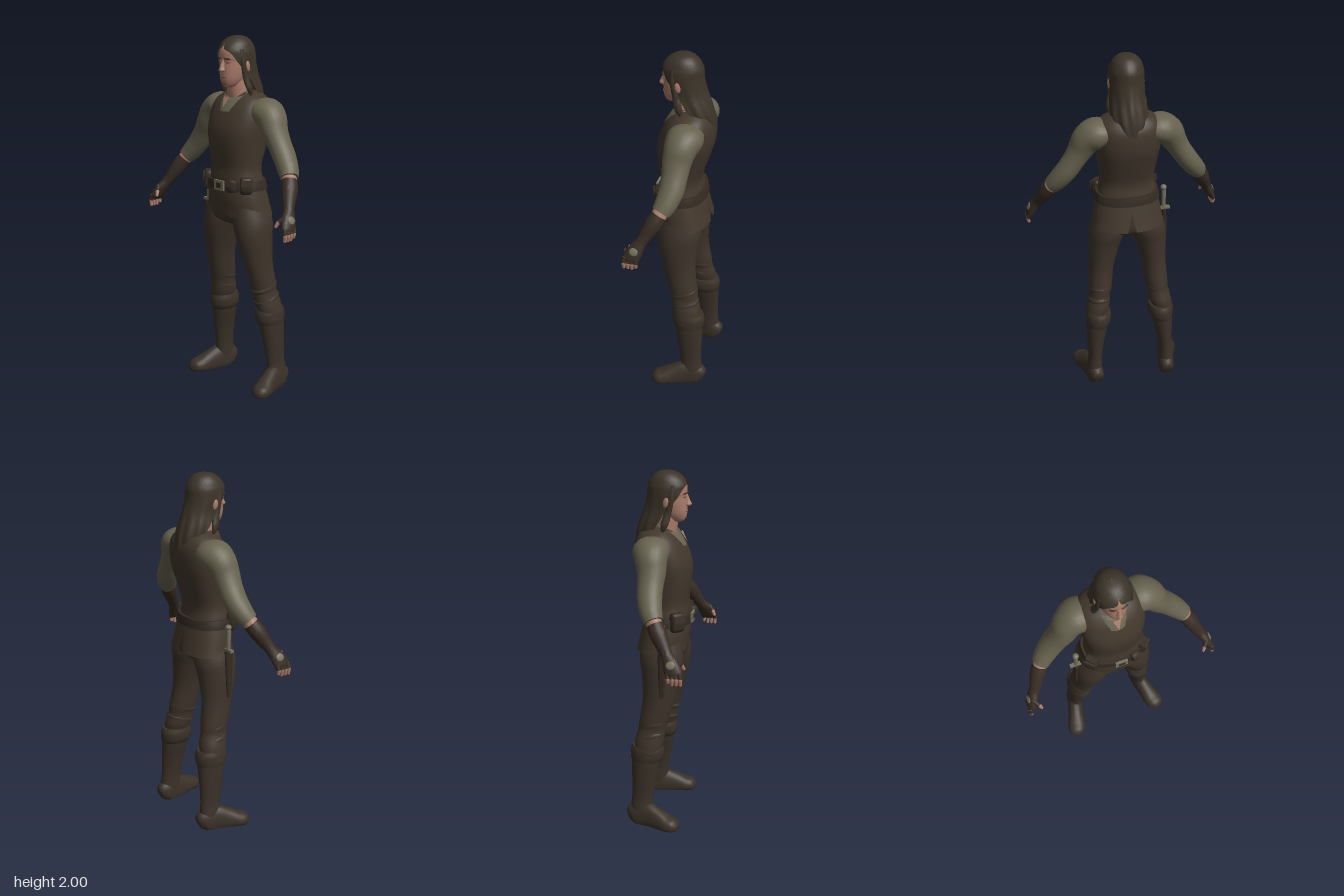
import * as THREE from 'three';
import { toCreasedNormals } from 'three/addons/utils/BufferGeometryUtils.js';

const mat = (name, color, side = THREE.FrontSide) => {
  const m = new THREE.MeshStandardMaterial({ color, side });
  m.name = name;
  return m;
};

// Superellipse point on a ring
const ringXY = (th, e) => {
  const f = (v) => Math.sign(v) * Math.abs(v) ** (2 / e);
  return [f(Math.cos(th)), f(Math.sin(th))];
};

// Smoothly resample rows of numbers by Catmull-Rom
function resample(rows, k) {
  const curves = [];
  for (let i = 0; i < rows[0].length; i++)
    curves.push(new THREE.SplineCurve(rows.map((r, j) => new THREE.Vector2(j, r[i]))));
  const n = (rows.length - 1) * k;
  return Array.from({ length: n + 1 }, (_, j) => curves.map((c) => c.getPoint(j / n).y));
}

// Closed skin over rings [x, y, z, a, b]: a lies along ref, b across it
function loft(rows, { n = 24, k = 4, e = 2, ref = [0, 0, 1], axis = null, floor = -1 } = {}) {
  const rings = resample(rows, k), R = new THREE.Vector3(...ref), pos = [], idx = [];
  const C = rings.map((r) => new THREE.Vector3(r[0], r[1], r[2]));
  const put = (p) => pos.push(p.x, Math.max(p.y, floor), p.z);
  rings.forEach((r, i) => {
    const t = axis ? new THREE.Vector3(...axis).normalize()
      : C[Math.min(i + 1, C.length - 1)].clone().sub(C[Math.max(i - 1, 0)]).normalize();
    const u = R.clone().addScaledVector(t, -t.dot(R)).normalize();
    const v = t.clone().cross(u);
    for (let j = 0; j < n; j++) {
      const [c, s] = ringXY((j / n) * Math.PI * 2, e);
      put(C[i].clone().addScaledVector(u, r[3] * c).addScaledVector(v, r[4] * s));
      if (i < rings.length - 1) {
        const a = i * n + j, b = i * n + ((j + 1) % n);
        idx.push(a, b, b + n, a, b + n, a + n);
      }
    }
  });
  const last = (rings.length - 1) * n, c0 = rings.length * n;
  put(C[0]);
  put(C[C.length - 1]);
  for (let j = 0; j < n; j++) {
    const q = (j + 1) % n;
    idx.push(c0, q, j, c0 + 1, last + j, last + q);
  }
  return finish(pos, idx);
}

// Open sheet round the y axis, rows [y, z, a, b, gapStart, gapEnd, wave]
function sheet(rows, sweep, { n = 40, k = 4, e = 2 } = {}) {
  const rings = resample(rows, k), pos = [], idx = [];
  rings.forEach(([y, z, a, b, g0, g1, w], i) => {
    for (let j = 0; j <= n; j++) {
      const th = g0 + (sweep - g0 - g1) * (j / n);
      const [c, s] = ringXY(th, e), f = 1 + w * Math.cos(th * 11 + y * 9);
      pos.push(b * s * f, y, z + a * c * f);
      if (i < rings.length - 1 && j < n) {
        const p = i * (n + 1) + j, q = p + n + 1;
        idx.push(p, q, q + 1, p, q + 1, p + 1);
      }
    }
  });
  return finish(pos, idx);
}

function finish(pos, idx) {
  const g = new THREE.BufferGeometry();
  g.setAttribute('position', new THREE.Float32BufferAttribute(pos, 3));
  g.setIndex(idx);
  return toCreasedNormals(g, 1.0);
}

export function createModel() {
  const model = new THREE.Group();
  const M = {
    vest: mat('vest brown', 0x42372c, THREE.DoubleSide),
    trousers: mat('trouser brown', 0x3e342a),
    boots: mat('boot brown', 0x3a3128),
    gloves: mat('glove brown', 0x372c24),
    hair: mat('hair brown', 0x3b3328, THREE.DoubleSide),
    shirt: mat('shirt olive', 0x67624f),
    skin: mat('skin', 0xaa7b69, THREE.DoubleSide),
    belt: mat('belt leather', 0x342b22),
    metal: mat('dull metal', 0x75705d),
    stubble: mat('stubble', 0x7f5b4d),
  };
  const add = (name, geo, m, p = [0, 0, 0], r = [0, 0, 0], s = [1, 1, 1]) => {
    const mesh = new THREE.Mesh(geo, m);
    mesh.name = name;
    mesh.position.set(...p);
    mesh.rotation.set(...r);
    mesh.scale.set(...s);
    model.add(mesh);
    return mesh;
  };
  const ball = new THREE.SphereGeometry(1, 20, 14);
  const up = [0, 1, 0];

  // Vest body
  add('vest', loft([
    [0, 1.15, -0.018, 0.125, 0.172], [0, 1.22, -0.008, 0.118, 0.16], [0, 1.29, -0.008, 0.113, 0.15],
    [0, 1.4, -0.018, 0.137, 0.164], [0, 1.5, -0.033, 0.151, 0.178], [0, 1.6, -0.053, 0.135, 0.18],
    [0, 1.655, -0.062, 0.105, 0.158], [0, 1.69, -0.065, 0.07, 0.1], [0, 1.7, -0.065, 0.04, 0.06],
  ], { n: 40, e: 2.4, axis: up }), M.vest);

  // Vest skirts, vented at front and back
  for (const s of [1, -1]) {
    add(s > 0 ? 'leftSkirt' : 'rightSkirt', sheet([
      [1.2, -0.012, 0.122, 0.166, 0, 0, 0], [1.12, -0.02, 0.133, 0.184, 0.01, 0.01, 0],
      [1.06, -0.03, 0.137, 0.194, 0.12, 0.05, 0], [1.015, -0.037, 0.141, 0.203, 0.24, 0.09, 0],
    ], Math.PI, { n: 28, e: 2.3 }), M.vest, [0, 0, 0], [0, 0, 0], [s, 1, 1]);
  }

  // Belt, buckle, pouches
  add('belt', loft([[0, 1.165, -0.014, 0.137, 0.183], [0, 1.19, -0.012, 0.136, 0.18], [0, 1.215, -0.01, 0.133, 0.174]],
    { n: 40, e: 2.3, axis: up }), M.belt);
  add('buckle', new THREE.BoxGeometry(0.07, 0.056, 0.012), M.metal, [0.005, 1.192, 0.128]);
  add('buckleInset', new THREE.BoxGeometry(0.036, 0.028, 0.004), M.belt, [0.005, 1.192, 0.134]);
  const pouch = (name, x, y, z, w, h, ry) => {
    add(name, loft([[0, -h, 0, 0.016, w * 0.8], [0, -h * 0.7, 0, 0.027, w], [0, h * 0.5, 0, 0.027, w],
      [0, h, 0, 0.018, w * 0.85]], { e: 4, axis: up }), M.belt, [x, y, z], [0, ry, 0]);
    add(name + 'Flap', new THREE.BoxGeometry(w * 1.7, h * 0.75, 0.008), M.trousers,
      [x + 0.026 * Math.sin(ry), y + h * 0.4, z + 0.026 * Math.cos(ry)], [0, ry, 0]);
  };
  pouch('rightPouch', -0.145, 1.197, 0.068, 0.04, 0.052, -0.8);
  pouch('leftFrontPouch', 0.085, 1.195, 0.105, 0.026, 0.034, 0.35);
  pouch('leftSidePouch', 0.15, 1.2, 0.063, 0.034, 0.045, 0.85);

  // Dagger in its sheath on the right hip
  add('daggerSheath', loft([[-0.226, 0.78, 0.0, 0.012, 0.008], [-0.224, 0.9, 0, 0.02, 0.012],
    [-0.218, 1.05, 0, 0.024, 0.014]]), M.belt);
  add('daggerGuard', new THREE.BoxGeometry(0.065, 0.014, 0.022), M.metal, [-0.22, 1.055, 0]);
  add('daggerGrip', new THREE.CylinderGeometry(0.014, 0.011, 0.12, 12), M.metal, [-0.217, 1.122, 0]);
  add('daggerPommel', ball, M.metal, [-0.215, 1.185, 0], [0, 0, 0], [0.018, 0.016, 0.018]);

  // Hips
  add('hips', loft([[0, 0.965, -0.025, 0.085, 0.1], [0, 1.0, -0.022, 0.12, 0.17], [0, 1.08, -0.02, 0.124, 0.178],
    [0, 1.18, -0.012, 0.11, 0.155]], { n: 32, axis: up, e: 2.3 }), M.trousers);

  for (const s of [1, -1]) {
    const side = s > 0 ? 'left' : 'right';
    const rows = (list) => list.map(([x, ...r]) => [x * s, ...r]);
    const limb = (part, list, m, opt) => add(side + part, loft(rows(list), opt), m);

    // Trouser leg
    limb('TrouserLeg', [
      [0.205, 0.42, -0.088, 0.07, 0.055], [0.184, 0.5, -0.08, 0.082, 0.066], [0.172, 0.57, -0.066, 0.078, 0.06],
      [0.165, 0.62, -0.058, 0.082, 0.066], [0.152, 0.75, -0.032, 0.091, 0.071], [0.132, 0.89, -0.02, 0.112, 0.091],
      [0.114, 0.98, -0.024, 0.122, 0.102], [0.1, 1.08, -0.024, 0.11, 0.085],
    ], M.trousers, { axis: up });
    // Trouser folds at the knee
    for (const [x, y, z, a, b] of [[0.177, 0.535, -0.072, 0.083, 0.066], [0.167, 0.605, -0.06, 0.084, 0.067]])
      limb('KneeFold', [[x, y - 0.018, z, a * 0.9, b * 0.9], [x, y, z, a, b], [x, y + 0.018, z, a * 0.9, b * 0.9]],
        M.trousers, { axis: [0, 1, 0.25 * s] });

    // Boot shaft, cuff and foot
    limb('BootShaft', [
      [0.218, 0.02, -0.125, 0.06, 0.042], [0.217, 0.09, -0.12, 0.064, 0.044], [0.212, 0.16, -0.115, 0.062, 0.04],
      [0.205, 0.27, -0.106, 0.071, 0.049], [0.196, 0.36, -0.1, 0.08, 0.06], [0.188, 0.45, -0.094, 0.086, 0.066],
    ], M.boots, { axis: up });
    limb('BootCuff', [[0.192, 0.385, -0.096, 0.084, 0.064], [0.187, 0.41, -0.093, 0.094, 0.072],
      [0.185, 0.45, -0.092, 0.095, 0.073], [0.184, 0.475, -0.09, 0.086, 0.067]], M.boots, { axis: up, k: 3 });
    limb('BootFoot', [
      [0.212, 0.035, -0.19, 0.04, 0.03], [0.214, 0.045, -0.16, 0.07, 0.045], [0.225, 0.04, -0.09, 0.09, 0.046],
      [0.244, 0.03, -0.02, 0.072, 0.049], [0.262, 0.02, 0.04, 0.053, 0.055], [0.275, 0.018, 0.08, 0.042, 0.047],
      [0.282, 0.016, 0.104, 0.018, 0.02],
    ], M.boots, { ref: up, floor: 0, e: 2.3 });

    // Shirt sleeve with rolled end
    limb('Sleeve', [
      [0.11, 1.595, -0.07, 0.085, 0.06], [0.172, 1.592, -0.067, 0.1, 0.082], [0.222, 1.56, -0.057, 0.088, 0.08],
      [0.256, 1.5, -0.047, 0.078, 0.068], [0.292, 1.44, -0.045, 0.07, 0.06], [0.335, 1.375, -0.04, 0.067, 0.058],
      [0.38, 1.315, -0.022, 0.06, 0.054], [0.41, 1.277, -0.002, 0.051, 0.047],
    ], M.shirt);
    limb('Forearm', [[0.39, 1.3, -0.015, 0.04, 0.038], [0.424, 1.252, 0.012, 0.043, 0.04]], M.skin);

    // Fingerless glove
    limb('Glove', [
      [0.416, 1.264, 0.005, 0.044, 0.042], [0.44, 1.22, 0.03, 0.046, 0.043], [0.465, 1.165, 0.062, 0.037, 0.035],
      [0.487, 1.125, 0.085, 0.032, 0.028], [0.51, 1.085, 0.11, 0.043, 0.026], [0.528, 1.045, 0.128, 0.046, 0.021],
      [0.534, 1.03, 0.132, 0.04, 0.016],
    ], M.gloves);
    add(side + 'GlovePlate', ball, M.metal, [s * 0.533, 1.09, 0.112], [0, 0, s * 0.4], [0.006, 0.022, 0.024]);

    // Fingers and thumb, gloved to the first joint
    const finger = (name, a, b, c) => {
      limb(name + 'Cover', [[...a, 0.013, 0.013], [...b, 0.0125, 0.0125]], M.gloves, { n: 10, k: 2 });
      limb(name, [[...a, 0.01, 0.01], [...b, 0.011, 0.011], [...c, 0.0085, 0.0085]], M.skin, { n: 10, k: 3 });
      add(side + name + 'Tip', ball, M.skin, [c[0] * s, c[1], c[2]], [0, 0, 0], [0.0088, 0.0088, 0.0088]);
    };
    for (let i = 0; i < 4; i++) {
      const z = 0.096 + i * 0.022, d = i === 0 ? 0.01 : 0;
      finger('Finger' + (i + 1), [0.531, 1.05, z], [0.541, 1.02, z + 0.004], [0.538, 0.989 + d, z + 0.004]);
    }
    finger('Thumb', [0.508, 1.105, 0.135], [0.487, 1.08, 0.16], [0.478, 1.057, 0.172]);

    // Ear, eye, brow
    add(side + 'Ear', ball, M.skin, [s * 0.09, 1.84, -0.008], [0.15, s * 0.3, 0], [0.009, 0.03, 0.018]);
    add(side + 'Eye', ball, M.stubble, [s * 0.03, 1.862, 0.085], [0, s * 0.4, 0], [0.014, 0.006, 0.005]);
    add(side + 'Brow', ball, M.hair, [s * 0.031, 1.881, 0.0885], [0, s * 0.4, -s * 0.1], [0.02, 0.0045, 0.006]);

    // Lock of hair beside the face
    limb('HairLock', [[0.074, 1.93, 0.025, 0.016, 0.012], [0.086, 1.86, 0.022, 0.016, 0.01],
      [0.087, 1.78, 0.004, 0.02, 0.012], [0.1, 1.72, -0.012, 0.02, 0.012], [0.098, 1.675, -0.025, 0.004, 0.003]],
      M.hair, { n: 12 });
  }

  // Neck, collar and open throat
  add('neck', loft([[0, 1.6, -0.035, 0.06, 0.062], [0, 1.68, -0.02, 0.058, 0.056], [0, 1.78, -0.005, 0.056, 0.052]],
    { axis: up }), M.skin);
  add('collar', loft([[0, 1.64, -0.004, 0.104, 0.09], [0, 1.665, -0.006, 0.088, 0.086], [0, 1.69, -0.012, 0.07, 0.074]],
    { n: 32, axis: [0, 0.9, 0.43] }), M.shirt);
  const throat = new THREE.Shape([[-0.022, 0.065], [0, 0], [0.022, 0.065]].map((p) => new THREE.Vector2(...p)));
  add('throat', new THREE.ShapeGeometry(throat), M.skin, [0, 1.615, 0.096], [-0.5, 0, 0]);

  // Head
  add('head', loft([
    [0, 1.724, 0.042, 0.02, 0.018], [0, 1.735, 0.032, 0.05, 0.036], [0, 1.77, 0.016, 0.077, 0.056],
    [0, 1.82, 0.004, 0.09, 0.067], [0, 1.865, -0.003, 0.094, 0.071], [0, 1.885, -0.003, 0.097, 0.073],
    [0, 1.93, -0.006, 0.094, 0.071], [0, 1.97, -0.012, 0.06, 0.045],
  ], { n: 32, axis: up, e: 2.2 }), M.skin);
  add('nose', loft([[0, 1.809, 0.088, 0.01, 0.012], [0, 1.818, 0.098, 0.021, 0.017], [0, 1.84, 0.092, 0.018, 0.011],
    [0, 1.878, 0.086, 0.008, 0.008]], { n: 14, axis: up }), M.skin);
  add('mouth', ball, M.stubble, [0, 1.782, 0.0905], [0, 0, 0], [0.024, 0.005, 0.006]);
  add('chinStubble', ball, M.stubble, [0, 1.752, 0.083], [0, 0, 0], [0.018, 0.014, 0.007]);

  // Long hair, open round the face
  add('hair', sheet([
    [2.0, -0.02, 0.002, 0.002, 0, 0, 0], [1.99, -0.016, 0.05, 0.045, 0, 0, 0], [1.965, -0.013, 0.084, 0.073, 0, 0, 0],
    [1.935, -0.011, 0.105, 0.086, 0.12, 0.12, 0], [1.91, -0.011, 0.112, 0.092, 0.6, 0.6, 0],
    [1.86, -0.014, 0.113, 0.094, 0.95, 0.95, 0.005], [1.79, -0.032, 0.112, 0.093, 1.35, 1.35, 0.015],
    [1.72, -0.06, 0.108, 0.1, 1.5, 1.5, 0.03], [1.66, -0.088, 0.096, 0.096, 1.65, 1.65, 0.035],
    [1.6, -0.112, 0.079, 0.07, 1.8, 1.8, 0.03],
  ], Math.PI * 2, { n: 60 }), M.hair);

  return model;
}
